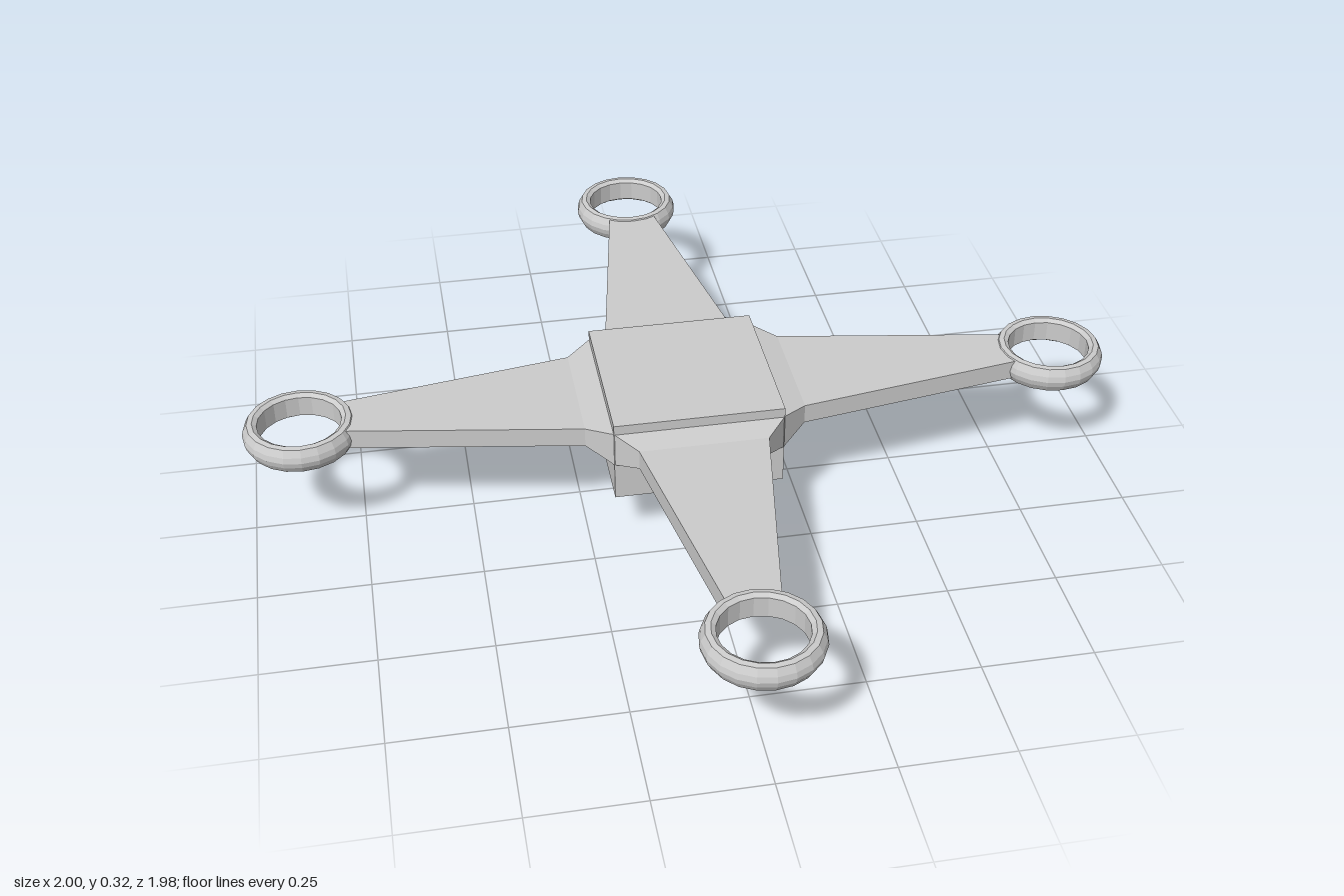
import * as THREE from 'three';

const material = new THREE.MeshStandardMaterial({ color: 0xcccccc, flatShading: true });

function part(name, geometry, x = 0, y = 0, z = 0) {
  const mesh = new THREE.Mesh(geometry, material);
  mesh.name = name;
  mesh.position.set(x, y, z);
  return mesh;
}

// Tapered arm along +x, lofted through rectangular sections [x, halfWidth, bottom, top]
function armGeometry(tip) {
  const sections = [
    [0.19, 0.195, 0.213, 0.298],
    [0.25, 0.145, 0.24, 0.286],
    [tip, 0.058, 0.24, 0.286],
  ];
  const corners = ([x, w, lo, hi]) => [[x, lo, -w], [x, hi, -w], [x, hi, w], [x, lo, w]];
  const positions = [];
  for (let s = 0; s < sections.length - 1; s++) {
    const p = corners(sections[s]);
    const q = corners(sections[s + 1]);
    for (let i = 0; i < 4; i++) {
      const j = (i + 1) % 4;
      positions.push(...p[i], ...p[j], ...q[j], ...p[i], ...q[j], ...q[i]);
    }
  }
  const geometry = new THREE.BufferGeometry();
  geometry.setAttribute('position', new THREE.Float32BufferAttribute(positions, 3));
  geometry.computeVertexNormals();
  return geometry;
}

function lathe(points, segments) {
  return new THREE.LatheGeometry(points.map(([r, y]) => new THREE.Vector2(r, y)), segments);
}

export function createModel() {
  const model = new THREE.Group();
  model.name = 'quadcopter';

  // Square central body
  model.add(part('body', new THREE.BoxGeometry(0.385, 0.195, 0.39), 0, 0.2225, 0));

  // Rounded ring with a straight inner wall
  const ring = lathe([
    [0.094, 0.236], [0.104, 0.229], [0.116, 0.231], [0.125, 0.247], [0.128, 0.26],
    [0.125, 0.273], [0.116, 0.289], [0.104, 0.291], [0.094, 0.284], [0.094, 0.236],
  ], 20);

  // Four arms, each with its ring
  for (let i = 0; i < 4; i++) {
    const reach = i % 2 ? 0.862 : 0.872;
    const arm = new THREE.Group();
    arm.name = `armAssembly${i + 1}`;
    arm.add(part('arm', armGeometry(reach - 0.098)));
    arm.add(part('rotorRing', ring, reach, 0, 0));
    arm.rotation.y = i * Math.PI / 2;
    model.add(arm);
  }

  // Camera hub with a tapered underside, and its lens
  model.add(part('cameraHub', lathe([
    [0, 0.062], [0.075, 0.062], [0.123, 0.078], [0.123, 0.13],
  ], 20)));
  model.add(part('lens', new THREE.CylinderGeometry(0.04, 0.04, 0.07, 16), 0, 0.035, 0));

  // Small wedge on the side of the hub
  const wedge = new THREE.ConeGeometry(0.04, 0.035, 4);
  wedge.rotateX(Math.PI);
  model.add(part('hubWedge', wedge, 0.09, 0.096, 0.025));

  return model;
}
